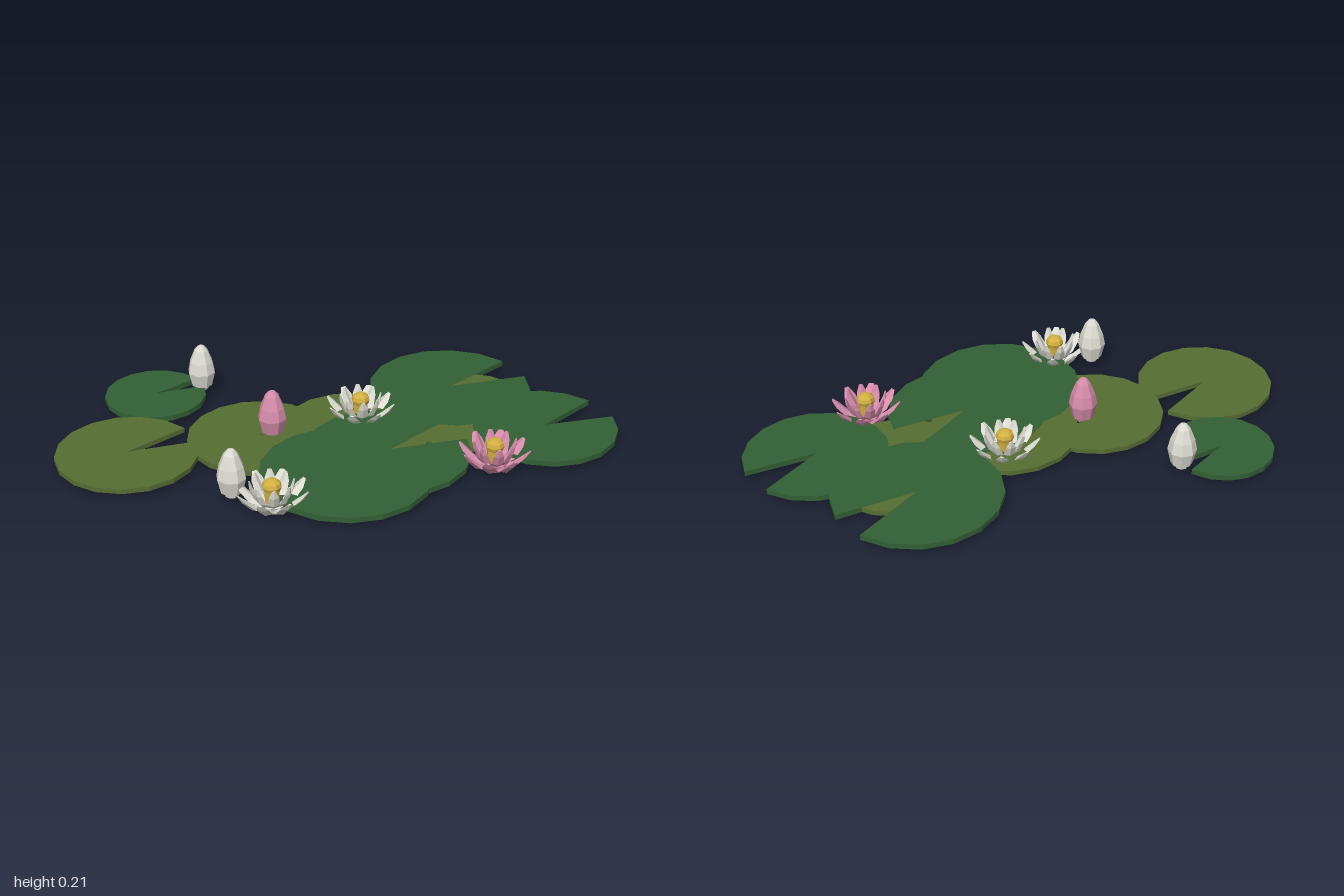
import * as THREE from 'three';

const mat = (name, color) => Object.assign(new THREE.MeshStandardMaterial({ color }), { name });

// Faceted look: every face gets its own normal
function faceted(geometry) {
  const g = geometry.index ? geometry.toNonIndexed() : geometry;
  g.computeVertexNormals();
  return g;
}

// Round pad with a wedge notch opening towards +x
function padGeometry(radius, notch, bottom, top) {
  const shape = new THREE.Shape();
  const sides = 16;
  shape.moveTo(0, 0);
  for (let i = 0; i <= sides; i++) {
    const a = notch + (i / sides) * (Math.PI * 2 - notch * 2);
    shape.lineTo(radius * Math.cos(a), radius * Math.sin(a));
  }
  shape.closePath();
  const g = new THREE.ExtrudeGeometry(shape, { depth: top - bottom, bevelEnabled: false });
  g.rotateX(-Math.PI / 2);
  g.translate(0, bottom, 0);
  return g;
}

// Petal lofted from diamond sections; each station is [radius, height, half width, half thickness]
function petalGeometry(stations) {
  const points = [];
  const index = [];
  stations.forEach(([r, y, w, t], i) => {
    const [r0, y0] = stations[Math.max(i - 1, 0)];
    const [r1, y1] = stations[Math.min(i + 1, stations.length - 1)];
    const len = Math.hypot(r1 - r0, y1 - y0);
    const nx = (-(y1 - y0) / len) * t;
    const ny = ((r1 - r0) / len) * t;
    points.push(r, y, w, r + nx, y + ny, 0, r, y, -w, r - nx, y - ny, 0);
  });
  for (let i = 0; i < stations.length - 1; i++) {
    for (let j = 0; j < 4; j++) {
      const a = i * 4 + j;
      const b = i * 4 + ((j + 1) % 4);
      index.push(a, a + 4, b, b, a + 4, b + 4);
    }
  }
  const e = (stations.length - 1) * 4;
  index.push(0, 1, 2, 0, 2, 3, e, e + 3, e + 2, e, e + 2, e + 1);
  const g = new THREE.BufferGeometry();
  g.setAttribute('position', new THREE.Float32BufferAttribute(points, 3));
  g.setIndex(index);
  return faceted(g);
}

export function createModel() {
  const model = new THREE.Group();
  model.name = 'waterLilies';

  const darkGreen = mat('dark green', 0x336034);
  const olive = mat('olive green', 0x566e33);
  const white = mat('petal white', 0xdcdcd2);
  const pink = mat('petal pink', 0xd68cab);
  const yellow = mat('stamen yellow', 0xd2b040);

  const add = (parent, name, geometry, material, x = 0, y = 0, z = 0) => {
    const mesh = new THREE.Mesh(geometry, material);
    mesh.name = name;
    mesh.position.set(x, y, z);
    parent.add(mesh);
    return mesh;
  };

  // Floating pads: x, z, radius, notch half angle
  const olivePads = [
    [-0.735, -0.155, 0.267, 0.22],
    [-0.255, -0.025, 0.27, 0.24],
    [0.085, 0.11, 0.288, 0.24],
    [0.53, 0.18, 0.3, 0.24],
  ];
  const darkPads = [
    [-0.455, -0.518, 0.198, 0.18],
    [-0.1, 0.36, 0.32, 0.24],
    [0.11, 0.305, 0.31, 0.25],
    [0.585, 0, 0.318, 0.24],
    [0.725, 0.44, 0.276, 0.27],
  ];
  for (const [x, z, r, n] of olivePads) add(model, 'olivePad', padGeometry(r, n, 0.02, 0.039), olive, x, 0, z);
  // Dark pads are a hair thicker so they cover the olive ones cleanly
  for (const [x, z, r, n] of darkPads) add(model, 'darkPad', padGeometry(r, n, 0.019, 0.04), darkGreen, x, 0, z);

  // Open flowers: two rings of petals around a yellow centre
  const outerPetal = petalGeometry([
    [0.025, 0.008, 0.015, 0.007],
    [0.075, 0.028, 0.027, 0.011],
    [0.112, 0.064, 0.023, 0.008],
    [0.131, 0.088, 0.009, 0.003],
  ]);
  const innerPetal = petalGeometry([
    [0.025, 0.015, 0.014, 0.007],
    [0.056, 0.05, 0.023, 0.009],
    [0.073, 0.088, 0.018, 0.007],
    [0.079, 0.117, 0.007, 0.003],
  ]);
  const base = faceted(new THREE.CylinderGeometry(0.055, 0.042, 0.03, 8));
  const core = faceted(new THREE.SphereGeometry(0.036, 8, 6));
  core.scale(1, 0.8, 1);

  function addFlower(x, z, material) {
    const flower = new THREE.Group();
    flower.name = 'flower';
    flower.position.set(x, 0, z);
    add(flower, 'flowerBase', base, material, 0, 0.015, 0);
    for (let i = 0; i < 8; i++) {
      const a = (i / 8) * Math.PI * 2;
      add(flower, 'outerPetal', outerPetal, material).rotation.y = a;
      add(flower, 'innerPetal', innerPetal, material).rotation.y = a + Math.PI / 8;
    }
    add(flower, 'stamens', core, yellow, 0, 0.094, 0);
    add(flower, 'stamenStalk', faceted(new THREE.CylinderGeometry(0.03, 0.025, 0.07, 8)), yellow, 0, 0.055, 0);
    model.add(flower);
  }
  addFlower(0.17, 0.005, white);
  addFlower(-0.425, 0.4, white);
  addFlower(0.415, 0.55, pink);

  // Closed buds
  const profile = [[0, 0.024], [0.024, 0.024], [0.028, 0.04], [0.041, 0.043], [0.055, 0.1], [0.046, 0.145], [0.027, 0.193], [0.014, 0.209], [0, 0.211]];
  const bud = faceted(new THREE.LatheGeometry(profile.map(([r, y]) => new THREE.Vector2(r, y)), 8));
  add(model, 'bud', bud, white, -0.525, 0, 0.285);
  add(model, 'bud', bud, white, -0.262, 0, -0.497);
  add(model, 'bud', bud, pink, -0.197, 0, -0.025);

  return model;
}
